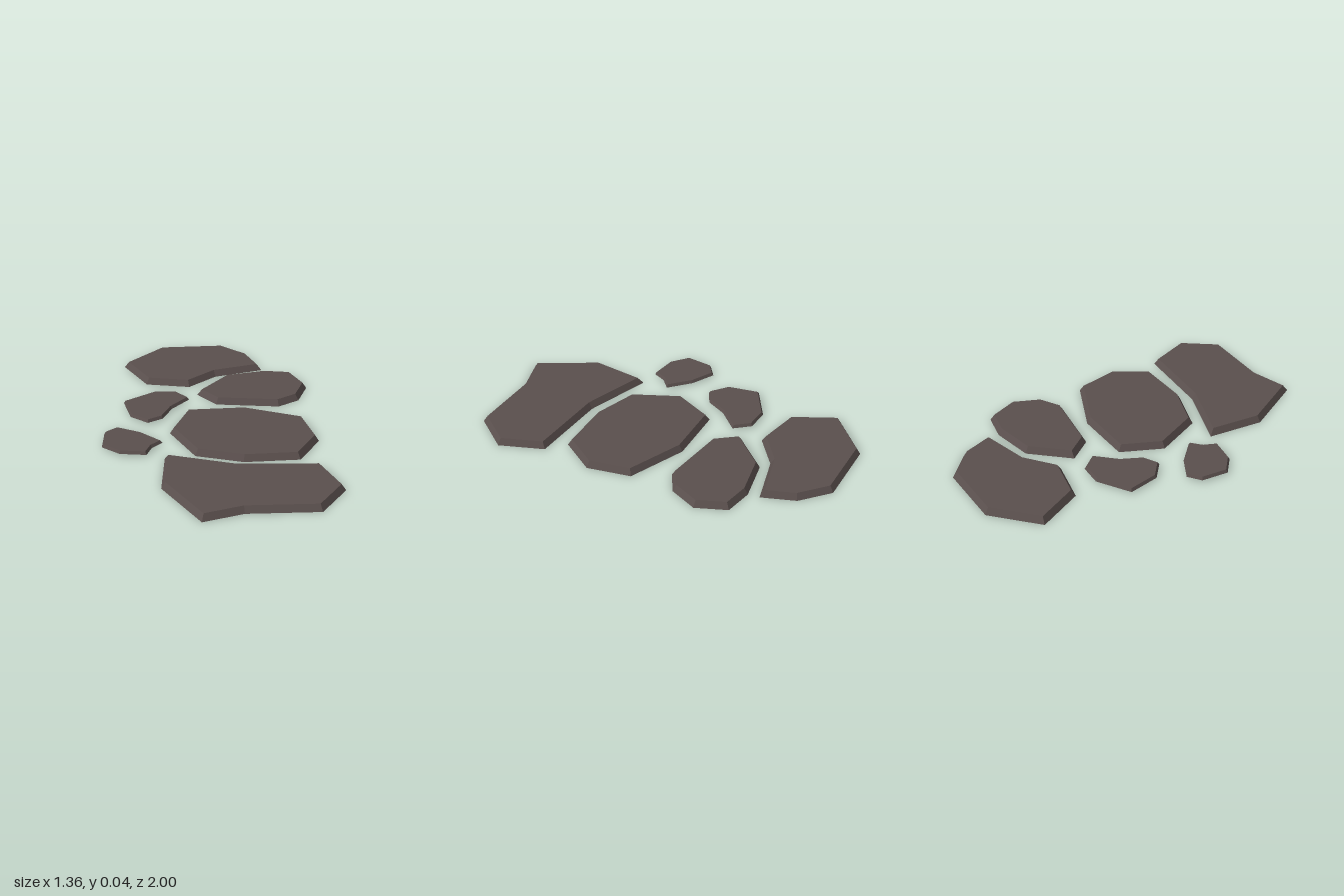
import * as THREE from 'three';

const material = new THREE.MeshStandardMaterial({ color: 0x5a4f4d, flatShading: true });

// Move every corner of an outline inwards by a fixed distance (mitred).
function insetOutline(points, distance) {
  const n = points.length;
  const inward = (a, b) => new THREE.Vector2(a.y - b.y, b.x - a.x).normalize();
  return points.map((p, i) => {
    const n1 = inward(points[(i + n - 1) % n], p);
    const n2 = inward(p, points[(i + 1) % n]);
    return n1.clone().add(n2).multiplyScalar(distance / (1 + n1.dot(n2))).add(p);
  });
}

// Flat slab with sloping sides; the outline lists x, z of the ground edge.
function makeStone({ name, outline, bottom, top, inset }) {
  const points = outline.map(([x, z]) => new THREE.Vector2(x, z));
  const upper = insetOutline(points, inset);
  const shape = new THREE.Shape(points.map(p => new THREE.Vector2(p.x, -p.y)));
  const geometry = new THREE.ExtrudeGeometry(shape, { depth: top - bottom, bevelEnabled: false });
  geometry.rotateX(-Math.PI / 2);

  // Pull the top corners in to slope the sides
  const pos = geometry.attributes.position;
  for (let i = 0; i < pos.count; i++) {
    if (pos.getY(i) < (top - bottom) / 2) continue;
    const k = points.findIndex(p => Math.hypot(p.x - pos.getX(i), p.y - pos.getZ(i)) < 1e-4);
    if (k >= 0) pos.setXYZ(i, upper[k].x, pos.getY(i), upper[k].y);
  }
  geometry.translate(0, bottom, 0);
  geometry.computeVertexNormals();
  const mesh = new THREE.Mesh(geometry, material);
  mesh.name = name;
  return mesh;
}

const large = { bottom: 0, top: 0.035, inset: 0.021 };
const small = { bottom: 0.01, top: 0.026, inset: 0.009 };

const stones = [
  { name: 'backStone', ...large, outline: [[-0.68, -0.68], [-0.5, -0.93], [-0.135, -1],
    [0.035, -0.895], [0.135, -0.73], [-0.125, -0.61], [-0.26, -0.455], [-0.51, -0.46]] },
  { name: 'backLeftStone', ...large, outline: [[-0.2, -0.36], [-0.065, -0.585], [0.155, -0.67],
    [0.315, -0.67], [0.415, -0.52], [0.38, -0.355], [0.275, -0.265], [-0.077, -0.25]] },
  { name: 'middleStone', ...large, outline: [[-0.285, 0.12], [-0.23, -0.12], [0.09, -0.185],
    [0.425, -0.11], [0.52, 0.115], [0.435, 0.33], [0.145, 0.39], [-0.115, 0.355]] },
  { name: 'frontStone', ...large, outline: [[-0.27, 0.395], [0.11, 0.45], [0.545, 0.397],
    [0.68, 0.615], [0.575, 0.835], [0.2, 0.895], [0.003, 0.995], [-0.24, 0.705]] },
  { name: 'smallBackPebble', ...small, outline: [[-0.595, -0.19], [-0.445, -0.328], [-0.32, -0.345],
    [-0.235, -0.275], [-0.315, -0.148], [-0.347, -0.026], [-0.42, 0.033], [-0.527, -0.026]] },
  { name: 'smallFrontPebble', ...small, outline: [[-0.632, 0.185], [-0.574, 0.122], [-0.436, 0.164],
    [-0.305, 0.25], [-0.352, 0.312], [-0.368, 0.39], [-0.51, 0.395], [-0.616, 0.335]] },
];

export function createModel() {
  const group = new THREE.Group();
  group.name = 'steppingStones';
  for (const stone of stones) group.add(makeStone(stone));
  return group;
}
